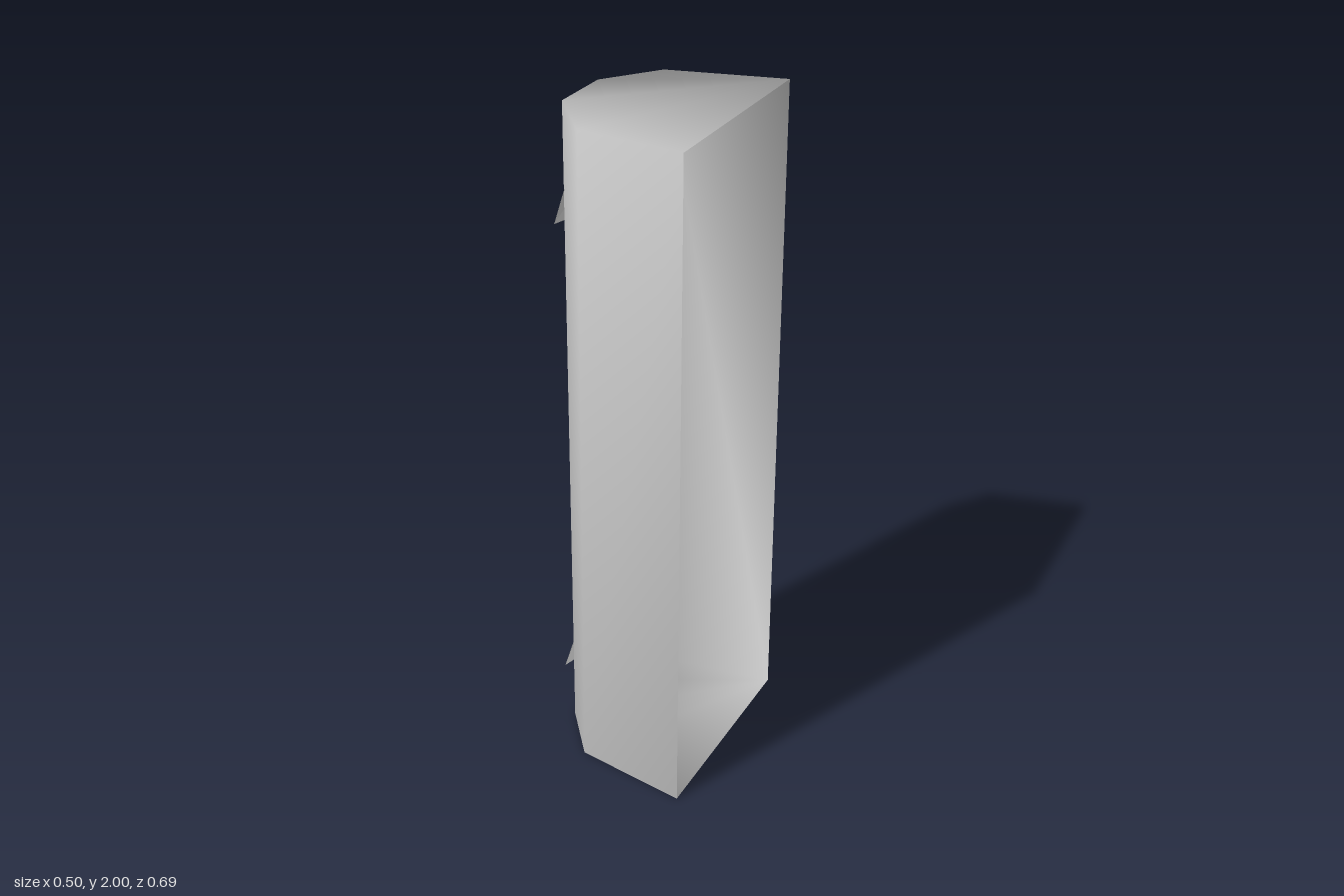
import * as THREE from 'three';

const lightGrey = new THREE.MeshStandardMaterial({ color: 0xcccccc, side: THREE.DoubleSide });
lightGrey.name = 'light grey';

function surface(name, points, index) {
  let geometry = new THREE.BufferGeometry();
  geometry.setAttribute('position', new THREE.Float32BufferAttribute(points.flat(), 3));
  geometry.setIndex(index);
  geometry.computeVertexNormals();
  const mesh = new THREE.Mesh(geometry, lightGrey);
  mesh.name = name;
  return mesh;
}

// Thin trough, open towards +x, with smooth normals; the lower profile is the upper one turned over
function makeHousing() {
  const profile = [
    [0.25, -0.345], [-0.1, -0.27], [-0.222, -0.105],
    [-0.222, 0.1], [-0.07, 0.297], [0.25, 0.332],
  ];
  const n = profile.length;
  const top = profile.map(([x, z]) => [x, 2, z]);
  const bottom = profile.map(([x, z]) => [x, 0, -z]).reverse();
  const index = [];
  for (let i = 0; i < n - 1; i++) {
    index.push(i, n + i, i + 1, i + 1, n + i, n + i + 1); // wall panel
    if (i > 0) {
      index.push(0, i, i + 1); // top end
      index.push(n, n + i + 1, n + i); // bottom end
    }
  }
  return surface('housing', [...top, ...bottom], index);
}

// Bent tab passing through the back wall; its two halves meet along a diagonal
function makeTab(name, y, upperCornerX) {
  const inner = -0.192, outer = -0.25, w = 0.11, h = 0.182;
  const low = [outer, y, w];
  const high = [upperCornerX ?? inner, y + h, -w];
  const a = [inner, y + h, w];
  const b = [inner, y, -w];
  return surface(name, [low, a, high, low, high, b], [0, 2, 1, 3, 5, 4]);
}

export function createModel() {
  const model = new THREE.Group();
  model.name = 'mountedHousing';
  model.add(
    makeHousing(),
    makeTab('upperTab', 1.645),
    makeTab('lowerTab', 0.178, -0.25),
  );
  return model;
}
